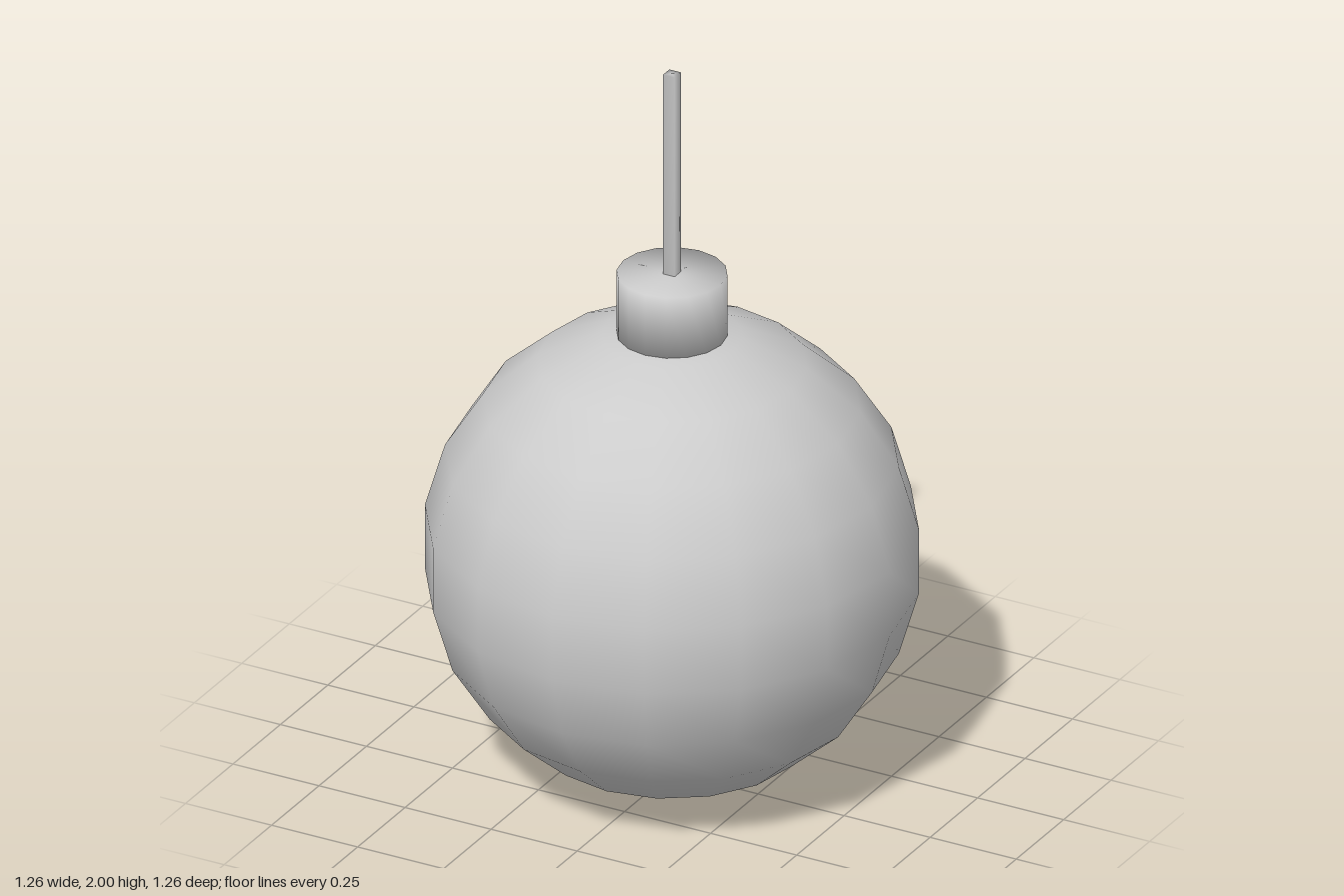
import * as THREE from 'three';

const material = new THREE.MeshStandardMaterial({ color: 0xcccccc });

function addPart(group, name, geometry) {
  const mesh = new THREE.Mesh(geometry, material);
  mesh.name = name;
  group.add(mesh);
  return mesh;
}

// Closed upright prism with soft, rounded-looking normals
function softPrism(radius, bottom, top, sides, startAngle = 0) {
  const profile = [[0, bottom], [radius, bottom], [radius, top], [0, top]]
    .map(([r, y]) => new THREE.Vector2(r, y));
  return new THREE.LatheGeometry(profile, sides, startAngle);
}

export function createModel() {
  const group = new THREE.Group();
  group.name = 'hangingBauble';

  // Round body resting on the ground
  const radius = 0.639;
  addPart(group, 'ball', new THREE.SphereGeometry(radius, 16, 11)).position.y = radius;

  // Short collar on top of the ball
  addPart(group, 'cap', softPrism(0.142, 1.255, 1.43, 16));

  // Thin square string rising from the cap
  addPart(group, 'string', softPrism(0.017 * Math.SQRT2, 1.43, 2, 4, Math.PI / 4));

  return group;
}
